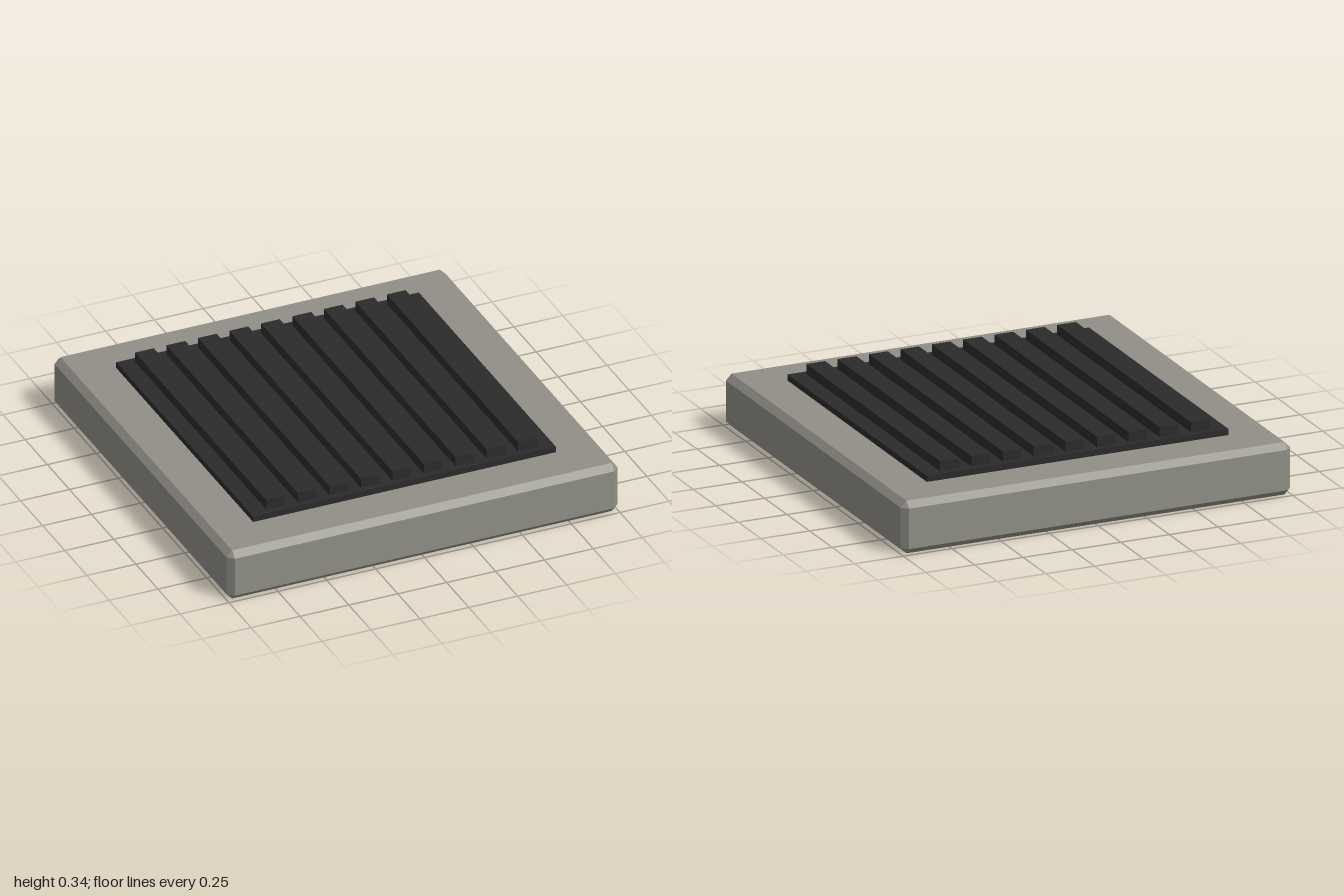
import * as THREE from 'three';
import { ConvexGeometry } from 'three/addons/geometries/ConvexGeometry.js';

// Box with every edge cut at 45 degrees: three inset points per corner
function chamferedBox(w, h, d, c) {
  const points = [];
  for (const sx of [-1, 1]) for (const sy of [-1, 1]) for (const sz of [-1, 1]) {
    const [x, y, z] = [w / 2, h / 2, d / 2];
    points.push(
      new THREE.Vector3(sx * x, sy * (y - c), sz * (z - c)),
      new THREE.Vector3(sx * (x - c), sy * y, sz * (z - c)),
      new THREE.Vector3(sx * (x - c), sy * (y - c), sz * z),
    );
  }
  return new ConvexGeometry(points);
}

export function createModel() {
  const model = new THREE.Group();
  model.name = 'floorGrate';
  const stone = new THREE.MeshStandardMaterial({ name: 'warm grey stone', color: 0x918f87 });
  const iron = new THREE.MeshStandardMaterial({ name: 'dark iron', color: 0x2b2b2b });

  const add = (name, geometry, material, x, y, z) => {
    const mesh = new THREE.Mesh(geometry, material);
    mesh.name = name;
    mesh.position.set(x, y, z);
    model.add(mesh);
  };

  // Bevelled slab
  add('slab', chamferedBox(2, 0.26, 2, 0.03), stone, 0, 0.13, 0);

  // Thin plate on the slab
  add('grateBase', new THREE.BoxGeometry(1.548, 0.03, 1.548), iron, 0, 0.275, 0);

  // Nine parallel bars running front to back
  const bar = new THREE.BoxGeometry(0.096, 0.05, 1.484);
  for (let i = 0; i < 9; i++) {
    add(`grateBar${i + 1}`, bar, iron, (i - 4) * 0.161, 0.315, 0);
  }

  return model;
}
